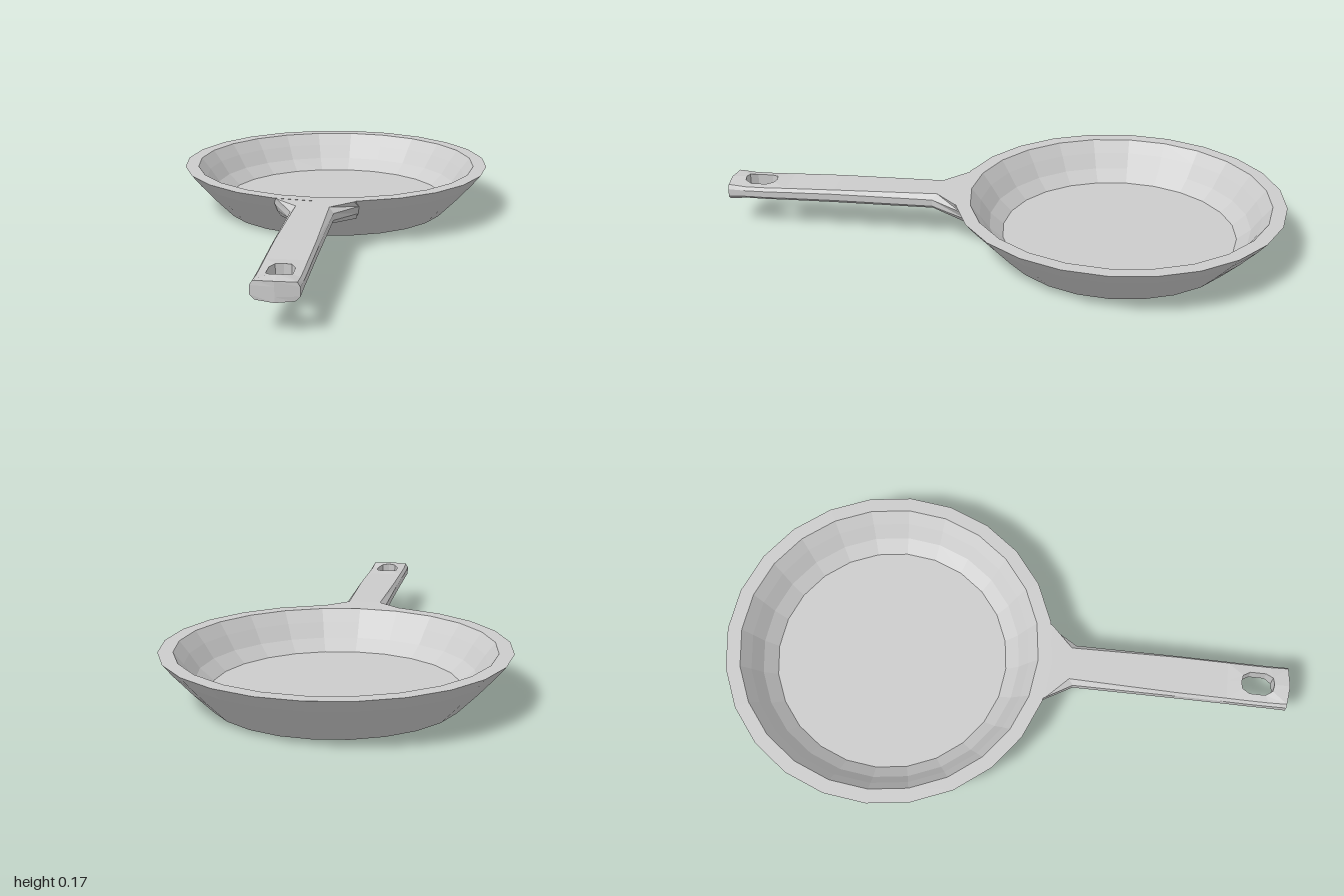
import * as THREE from 'three';

const material = new THREE.MeshStandardMaterial({ color: 0xcccccc, flatShading: true });

// Skin between rings of [x, y, z] points; closeRings also joins the last ring to the first.
function loft(rings, closeRings = false) {
  const n = rings[0].length, index = [];
  const spans = closeRings ? rings.length : rings.length - 1;
  for (let i = 0; i < spans; i++) {
    const k = (i + 1) % rings.length;
    for (let j = 0; j < n; j++) {
      const m = (j + 1) % n;
      const a = i * n + j, b = i * n + m, c = k * n + m, d = k * n + j;
      index.push(a, b, c, a, c, d);
    }
  }
  const geometry = new THREE.BufferGeometry();
  geometry.setAttribute('position', new THREE.Float32BufferAttribute(rings.flat(2), 3));
  geometry.setIndex(index);
  geometry.computeVertexNormals();
  return geometry;
}

// Right half of the chamfered handle section, bottom to top.
function edgeProfile(top, bottom) {
  const h = top - bottom;
  return [[0.06, bottom], [0.075, bottom + h * 0.25], [0.075, bottom + h * 0.7], [0.066, top - h * 0.06]];
}

// Mirror a right half into a full loop.
const mirrorLoop = (half) => [...half, ...half.slice().reverse().map(([x, y, z]) => [-x, y, z])];

export function createModel() {
  const group = new THREE.Group();
  const add = (name, geometry) => {
    const mesh = new THREE.Mesh(geometry, material);
    mesh.name = name;
    group.add(mesh);
    return mesh;
  };

  // Pan: outer wall up, over the rim, inner wall down to the floor
  const profile = [
    [0, 0], [0.42, 0], [0.485, 0.065], [0.545, 0.13], [0.58, 0.172],
    [0.53, 0.172], [0.497, 0.13], [0.462, 0.08], [0.415, 0.04], [0, 0.04],
  ].map(([r, y]) => new THREE.Vector2(r, y));
  add('pan', new THREE.LatheGeometry(profile, 24)).position.z = -0.42;

  // Handle shaft: sections from the flared bracket at the wall to the hanging end
  const section = (z, top, bottom) => mirrorLoop(edgeProfile(top, bottom).map(([x, y]) => [x, y, z]));
  const bracket = [
    mirrorLoop([[0.135, 0.09, 0.06], [0.145, 0.115, 0.085], [0.15, 0.148, 0.11], [0.15, 0.171, 0.125]]),
    mirrorLoop([[0.135, 0.09, 0.075], [0.142, 0.115, 0.1], [0.148, 0.148, 0.125], [0.135, 0.171, 0.15]]),
    mirrorLoop([[0.06, 0.115, 0.24], [0.075, 0.128, 0.24], [0.075, 0.152, 0.24], [0.058, 0.17, 0.225]]),
  ];
  add('handleShaft', loft([...bracket, section(0.6, 0.166, 0.112), section(0.78, 0.16, 0.109)]));

  // Handle end: the edge profile carried around the hanging hole
  // Each entry: side, outer z, top y, bottom y, hole x, hole z
  const outline = [
    [1, 0.85, 0.157, 0.107, 0.04, 0.86],
    [1, 0.93, 0.156, 0.107, 0.04, 0.915],
    [1, 0.992, 0.162, 0.1, 0.025, 0.94],
    [0, 1.0, 0.165, 0.095, 0, 0.945],
    [-1, 0.992, 0.162, 0.1, -0.025, 0.94],
    [-1, 0.93, 0.156, 0.107, -0.04, 0.915],
    [-1, 0.85, 0.157, 0.107, -0.04, 0.86],
    [-1, 0.78, 0.16, 0.109, -0.025, 0.835],
    [0, 0.78, 0.16, 0.109, 0, 0.83],
    [1, 0.78, 0.16, 0.109, 0.025, 0.835],
  ];
  const endRings = outline.map(([side, z, top, bottom, hx, hz]) => [
    [hx, bottom, hz],
    ...edgeProfile(top, bottom).map(([x, y]) => [side * x, y, z]),
    [hx, top, hz],
  ]);
  add('handleEnd', loft(endRings, true));

  return group;
}
